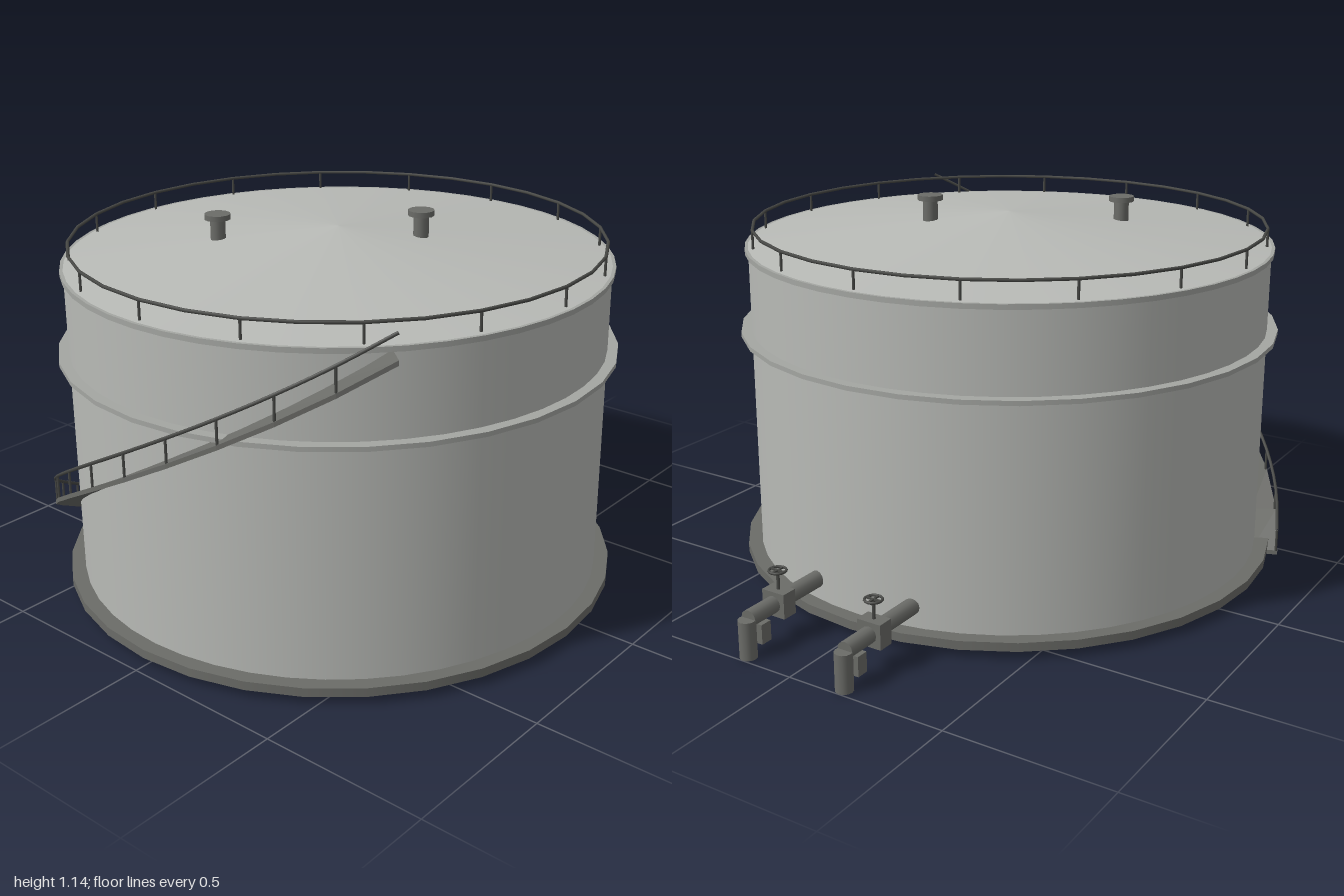
import * as THREE from 'three';

export function createModel() {
  const model = new THREE.Group();
  const mat = (name, color, side = THREE.FrontSide) => {
    const m = new THREE.MeshStandardMaterial({ color, side });
    m.name = name;
    return m;
  };
  const shellGrey = mat('shell grey', 0xb8bab6);
  const bandGrey = mat('band grey', 0xa4a6a2);
  const steel = mat('dark steel', 0x6b6c68);
  const railGrey = mat('rail grey', 0x484946);

  const add = (parent, name, geometry, material, x = 0, y = 0, z = 0) => {
    const mesh = new THREE.Mesh(geometry, material);
    mesh.name = name;
    mesh.position.set(x, y, z);
    parent.add(mesh);
    return mesh;
  };
  const group = (parent, name, x = 0, y = 0, z = 0) => {
    const g = new THREE.Group();
    g.name = name;
    g.position.set(x, y, z);
    parent.add(g);
    return g;
  };
  const cyl = (r, h, n) => new THREE.CylinderGeometry(r, r, h, n);

  // Tank body, all placed around its own axis
  const tank = group(model, 'tank', 0, 0, 0.12);
  add(tank, 'base', cyl(0.85, 0.027, 32), steel, 0, 0.0385);
  add(tank, 'shell', cyl(0.805, 0.95, 48), shellGrey, 0, 0.525);
  add(tank, 'stiffenerBand', cyl(0.838, 0.014, 32), bandGrey, 0, 0.745);
  add(tank, 'topLip', cyl(0.815, 0.015, 48), bandGrey, 0, 1.0);
  add(tank, 'roof', new THREE.ConeGeometry(0.81, 0.085, 48), shellGrey, 0, 1.0495);

  // Roof vents
  for (const [x, y, z] of [[0.2, 1.145, -0.14], [-0.27, 1.13, 0.23]]) {
    const vent = group(tank, 'vent', x, y, z);
    add(vent, 'ventStem', cyl(0.023, 0.09, 12), steel, 0, -0.05);
    add(vent, 'ventCap', cyl(0.039, 0.016, 12), steel, 0, -0.008);
  }

  // Guard rail round the roof
  const guard = group(tank, 'guardRail');
  const ring = new THREE.TorusGeometry(0.79, 0.005, 6, 32).rotateX(Math.PI / 2);
  add(guard, 'topRail', ring, railGrey, 0, 1.065);
  for (let i = 0; i < 16; i++) {
    const a = (i / 16) * Math.PI * 2;
    add(guard, 'railPost', cyl(0.004, 0.062, 6), railGrey,
      0.79 * Math.sin(a), 1.034, 0.79 * Math.cos(a));
  }

  // Spiral stair: a helical slab swept from inner/outer, top/bottom corners
  const stair = group(tank, 'spiralStair');
  const steps = 12;
  const start = THREE.MathUtils.degToRad(-70);
  const sweep = THREE.MathUtils.degToRad(120);
  const helix = (t, r, dy) => {
    const a = start + sweep * t;
    return new THREE.Vector3(r * Math.sin(a), 0.03 + 0.965 * t + dy, r * Math.cos(a));
  };
  const section = [[0.8, 0], [0.88, 0], [0.88, -0.014], [0.8, -0.014]];
  const pos = [];
  const quad = (a, b, c, d) => {
    for (const p of [a, b, c, a, c, d]) pos.push(p.x, p.y, p.z);
  };
  for (let i = 0; i < steps; i++) {
    for (let k = 0; k < 4; k++) {
      const p = section[k], q = section[(k + 1) % 4];
      quad(helix(i / steps, ...p), helix(i / steps, ...q),
        helix((i + 1) / steps, ...q), helix((i + 1) / steps, ...p));
    }
  }
  const first = section.map((s) => helix(0, ...s));
  const last = section.map((s) => helix(1, ...s));
  quad(first[3], first[2], first[1], first[0]);
  quad(...last);
  const slab = new THREE.BufferGeometry();
  slab.setAttribute('position', new THREE.Float32BufferAttribute(pos, 3));
  slab.computeVertexNormals();
  add(stair, 'stairRamp', slab, steel);

  // Stair handrail and posts
  const railPath = new THREE.CatmullRomCurve3(
    Array.from({ length: steps + 1 }, (_, i) => helix(i / steps, 0.875, 0.07)));
  add(stair, 'handrail', new THREE.TubeGeometry(railPath, 36, 0.005, 6), railGrey);
  for (let i = 0; i < steps; i++) {
    const p = helix(i / steps, 0.875, 0.035);
    add(stair, 'handrailPost', cyl(0.004, 0.07, 6), railGrey, p.x, p.y, p.z);
  }

  // Outlet pipes with valves at the back
  for (const x of [-0.168, 0.168]) {
    const outlet = group(model, 'outlet', x, 0.115, 0);
    add(outlet, 'pipe', cyl(0.025, 0.31, 12).rotateX(Math.PI / 2), steel, 0, 0, -0.812);
    add(outlet, 'downPipe', cyl(0.026, 0.115, 12), steel, 0, -0.0575, -0.974);
    add(outlet, 'pipeSupport', new THREE.BoxGeometry(0.035, 0.06, 0.038), steel, 0, -0.06, -0.916);
    add(outlet, 'valveBody', new THREE.BoxGeometry(0.078, 0.075, 0.05), steel, 0, 0, -0.838);
    add(outlet, 'valveStem', cyl(0.005, 0.065, 8), railGrey, 0, 0.065, -0.838);
    const wheel = group(outlet, 'handWheel', 0, 0.095, -0.838);
    add(wheel, 'wheelRim', new THREE.TorusGeometry(0.025, 0.004, 6, 16).rotateX(Math.PI / 2), railGrey);
    add(wheel, 'wheelSpoke', new THREE.BoxGeometry(0.05, 0.005, 0.006), railGrey);
    add(wheel, 'wheelSpoke', new THREE.BoxGeometry(0.006, 0.005, 0.05), railGrey);
  }
  return model;
}
